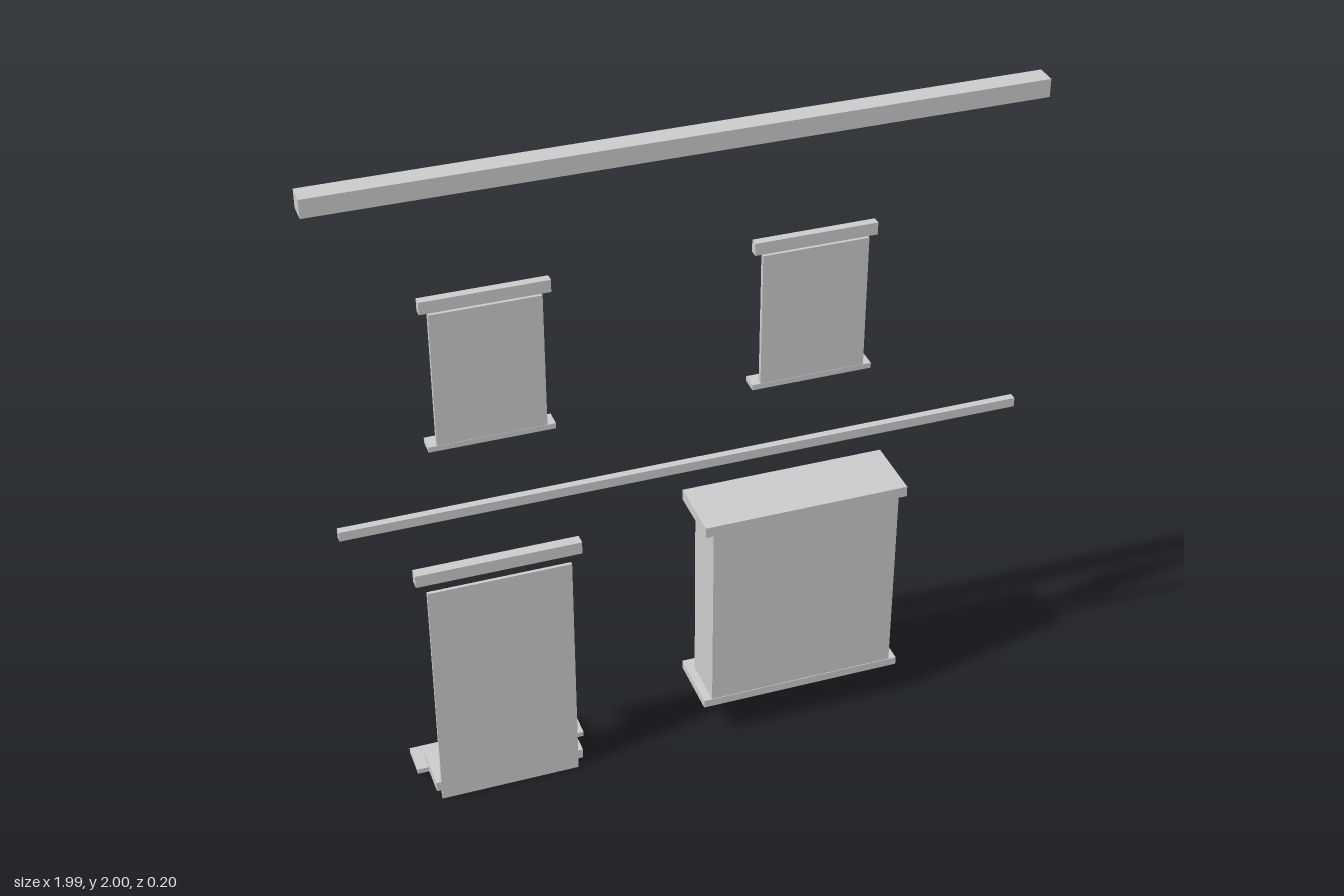
import * as THREE from 'three';

export function createModel() {
  const model = new THREE.Group();
  const stone = new THREE.MeshStandardMaterial({ color: 0xcccccc });
  stone.name = 'pale grey';

  // Box given by its extents along each axis
  const slab = (parent, name, [x0, x1], [y0, y1], [z0, z1]) => {
    const mesh = new THREE.Mesh(new THREE.BoxGeometry(x1 - x0, y1 - y0, z1 - z0), stone);
    mesh.position.set((x0 + x1) / 2, (y0 + y1) / 2, (z0 + z1) / 2);
    mesh.name = name;
    parent.add(mesh);
  };
  const group = (name) => {
    const g = new THREE.Group();
    g.name = name;
    model.add(g);
    return g;
  };

  // Horizontal bands of the facade
  slab(model, 'cornice', [-0.995, 0.995], [1.948, 2], [0.035, 0.095]);
  slab(model, 'floorBand', [-0.978, 0.976], [0.98, 1.008], [0.073, 0.095]);

  // Upper windows: panel, raised pane with mullion on the back, lintel and sill
  for (const [name, cx] of [['rightWindow', -0.55], ['leftWindow', 0.35]]) {
    const w = group(name);
    const span = (h) => [cx - h, cx + h];
    slab(w, 'windowPanel', span(0.15), [1.222, 1.618], [0.08, 0.094]);
    slab(w, 'windowPane', span(0.134), [1.245, 1.6], [0.074, 0.08]);
    slab(w, 'windowMullion', span(0.006), [1.245, 1.6], [0.069, 0.074]);
    slab(w, 'windowLintel', span(0.173), [1.624, 1.66], [0.071, 0.095]);
    slab(w, 'windowSill', span(0.173), [1.206, 1.222], [0.046, 0.095]);
  }

  // Door with lintel and two steps behind
  const door = group('door');
  slab(door, 'doorPanel', [-0.755, -0.345], [0, 0.747], [0.085, 0.095]);
  slab(door, 'doorLintel', [-0.785, -0.315], [0.777, 0.815], [0.064, 0.096]);
  slab(door, 'upperStep', [-0.77, -0.33], [0.032, 0.063], [-0.045, 0.094]);
  slab(door, 'lowerStep', [-0.803, -0.3], [0.03, 0.046], [-0.096, 0.002]);

  // Bay window: body between cap and base, with divided glazing on the back
  const bay = group('bayWindow');
  const c = 0.352;
  slab(bay, 'bayBody', [0.07, 0.634], [0.143, 0.742], [-0.06, 0.094]);
  slab(bay, 'bayCap', [0.045, 0.657], [0.742, 0.775], [-0.1, 0.098]);
  slab(bay, 'bayBase', [0.045, 0.657], [0.118, 0.143], [-0.1, 0.096]);
  slab(bay, 'bayPane', [c - 0.243, c + 0.243], [0.215, 0.665], [-0.073, -0.06]);
  for (const dx of [-0.165, 0, 0.165]) {
    slab(bay, 'bayMullion', [c + dx - 0.008, c + dx + 0.008], [0.215, 0.668], [-0.081, -0.073]);
  }

  return model;
}
